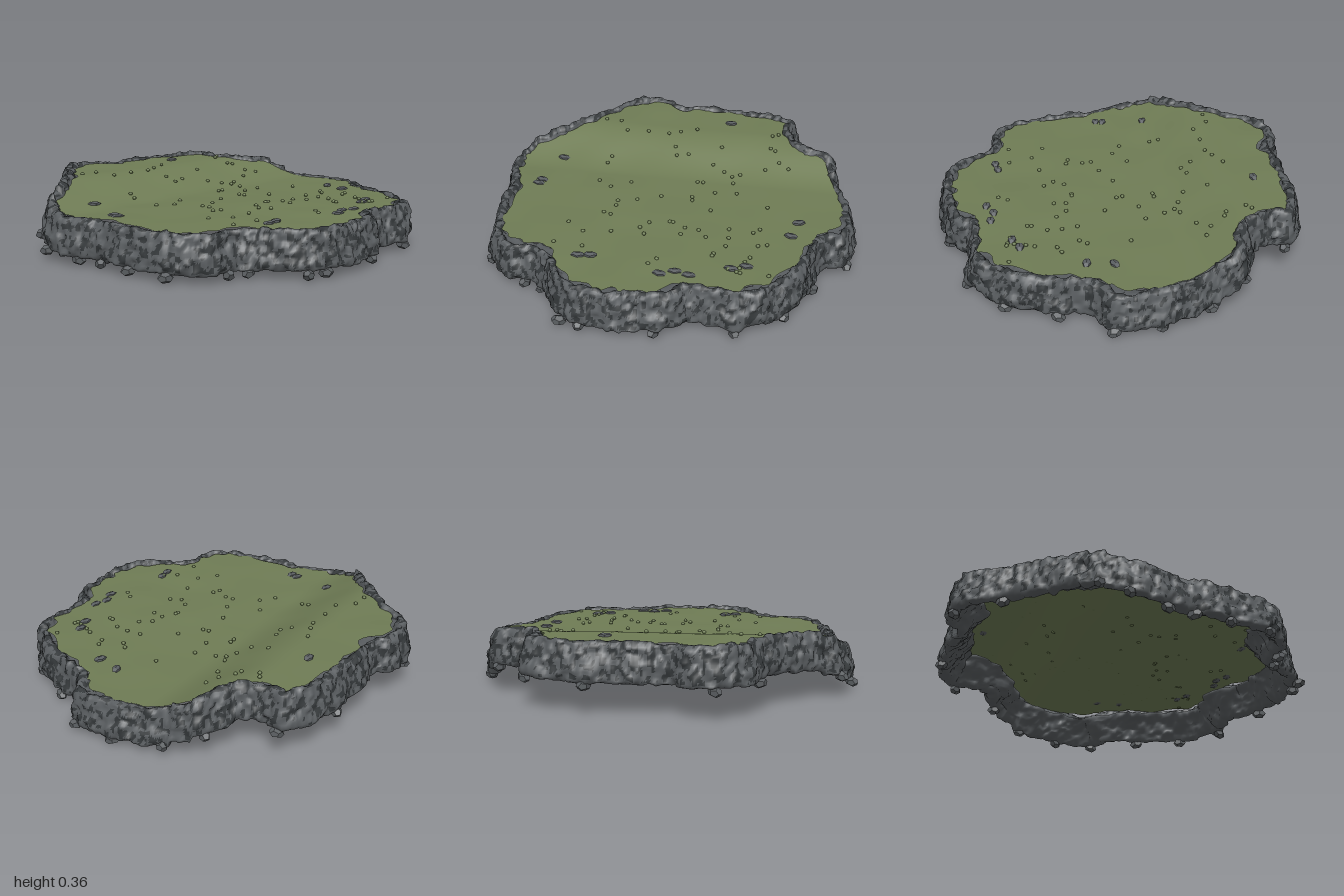
import * as THREE from 'three';

const mat = (name, color, extra = {}) => {
  const m = new THREE.MeshStandardMaterial({ color, ...extra });
  m.name = name;
  return m;
};

// seeded random and smooth 3D value noise in 0..1
let seed = 7;
const rand = () => (seed = (seed * 16807) % 2147483647) / 2147483647;
const hash = (x, y, z) => {
  const s = Math.sin(x * 127.1 + y * 311.7 + z * 74.7) * 43758.5453;
  return s - Math.floor(s);
};
function noise(x, y, z) {
  const X = Math.floor(x), Y = Math.floor(y), Z = Math.floor(z);
  const f = (t) => t * t * (3 - 2 * t);
  const u = f(x - X), v = f(y - Y), w = f(z - Z), mix = THREE.MathUtils.lerp;
  const row = (j, k) => mix(hash(X, Y + j, Z + k), hash(X + 1, Y + j, Z + k), u);
  return mix(mix(row(0, 0), row(1, 0), v), mix(row(0, 1), row(1, 1), v), w);
}

// raised terrace towards the back: the rock climbs faster than the grass
const rockRise = (z) => 0.117 * THREE.MathUtils.smoothstep(-z, 0.18, 0.54);
const grassRise = (z) => 0.115 * THREE.MathUtils.smoothstep(-z, 0.17, 0.58);

// island outline, x and z, clockwise seen from above
const outline = [
  [-0.3, -0.91], [-0.16, -0.89], [-0.08, -0.84], [0.1, -0.85], [0.3, -0.84], [0.48, -0.81], [0.58, -0.75],
  [0.56, -0.64], [0.63, -0.52], [0.72, -0.47], [0.81, -0.42], [0.87, -0.25], [0.92, -0.1], [0.94, 0.1],
  [0.92, 0.2], [0.81, 0.26], [0.77, 0.4], [0.69, 0.6], [0.58, 0.74], [0.45, 0.81], [0.32, 0.79],
  [0.2, 0.79], [0.14, 0.86], [0, 0.9], [-0.15, 0.91], [-0.34, 0.87], [-0.42, 0.78], [-0.5, 0.67],
  [-0.58, 0.61], [-0.7, 0.6], [-0.81, 0.5], [-0.85, 0.35], [-0.87, 0.15], [-0.87, 0.02], [-0.92, -0.12],
  [-0.92, -0.3], [-0.87, -0.38], [-0.75, -0.45], [-0.6, -0.58], [-0.5, -0.7], [-0.42, -0.84],
];
const rim = new THREE.CatmullRomCurve3(outline.map(([x, z]) => new THREE.Vector3(x, 0, z)), true);
rim.arcLengthDivisions = 1000;

// point on the rim moved outward by o
function rimPoint(t, o) {
  const p = rim.getPointAt(t % 1), d = rim.getTangentAt(t % 1);
  return new THREE.Vector3(p.x + d.z * o, 0, p.z - d.x * o);
}

// craggy wall: closed cross-section swept round the rim in stepped blocks;
// its inner side slopes in under the grass
function makeWall(materials) {
  const section = new THREE.CatmullRomCurve3([
    [0.035, 0.05], [0.04, 0.1], [0.028, 0.15], [0.018, 0.2], [0.006, 0.23], [-0.01, 0.237],
    [-0.025, 0.226], [-0.04, 0.2], [-0.08, 0.193], [-0.115, 0.185], [-0.085, 0.15], [-0.045, 0.1], [0, 0.047],
  ].map(([o, y]) => new THREE.Vector3(o, y, 0)), true);
  const N = 600, M = 42, block = 10, pos = [], light = [], dark = [];
  const ring = section.getSpacedPoints(M);
  for (let i = 0; i < N; i++) {
    const b = Math.floor(i / block);
    const middle = rimPoint((b + 0.5) * block / N, 0);
    const lift = (rockRise(middle.z) + rockRise(rimPoint(i / N, 0).z)) / 2 + (hash(b, 3, 1) - 0.5) * 0.012;
    for (let j = 0; j < M; j++) {
      const { x: o, y } = ring[j];
      const p = rimPoint(i / N, o);
      const bulge = (noise(p.x * 11 + 30, y * 6, p.z * 11) - 0.5) * (o < -0.05 ? 0.06 : 0.034)
        + (noise(p.x * 38, y * 38 + 9, p.z * 38 + 50) - 0.5) * 0.028;
      const q = rimPoint(i / N, o + bulge);
      const climb = o < -0.035 ? Math.min(lift, grassRise(q.z)) : lift;
      pos.push(q.x, y + climb + (noise(p.x * 30, y * 30, p.z * 30) - 0.5) * 0.016, q.z);
    }
  }
  for (let i = 0; i < N; i++) {
    for (let j = 0; j < M; j++) {
      const i2 = (i + 1) % N, j2 = (j + 1) % M;
      const a = i * M + j, b = i2 * M + j, c = i2 * M + j2, d = i * M + j2;
      const { x: o, y } = ring[j];
      // most patches on the crest, fewer on the face, none underneath or inside
      const limit = y > 0.222 ? 0.48 : o > 0.01 && y > 0.055 ? 0.57 : 1;
      for (const f of [[a, d, b], [b, d, c]]) {
        const [x, h, z] = [0, 1, 2].map((k) => f.reduce((s, v) => s + pos[v * 3 + k], 0) / 3);
        (noise(x * 55 + 80, h * 42, z * 55 + 20) > limit ? dark : light).push(...f);
      }
    }
  }
  const g = new THREE.BufferGeometry();
  g.setAttribute('position', new THREE.Float32BufferAttribute(pos, 3));
  g.setIndex([...light, ...dark]);
  g.addGroup(0, light.length, 0);
  g.addGroup(light.length, dark.length, 1);
  g.computeVertexNormals();
  return new THREE.Mesh(g, materials);
}

// grass sheet: rings from the centre out to a ragged edge at the wall
function makeGrass(material) {
  const N = 260, R = 44, pos = [], index = [];
  for (let i = 0; i < N; i++) {
    const e = rimPoint(i / N, -0.033);
    e.multiplyScalar(1 + (noise(e.x * 16, 4, e.z * 16) - 0.5) * 0.07);
    for (let r = 0; r <= R; r++) {
      const x = e.x * r / R, z = e.z * r / R;
      pos.push(x, 0.228 + grassRise(z) + (noise(x * 5 + 9, 2, z * 5 + 9) - 0.5) * 0.01, z);
    }
  }
  for (let i = 0; i < N; i++) {
    for (let r = 0; r < R; r++) {
      const a = i * (R + 1) + r, b = ((i + 1) % N) * (R + 1) + r;
      index.push(a, b + 1, a + 1);
      if (r > 0) index.push(a, b, b + 1);
    }
  }
  const g = new THREE.BufferGeometry();
  g.setAttribute('position', new THREE.Float32BufferAttribute(pos, 3));
  g.setIndex(index);
  g.computeVertexNormals();
  return new THREE.Mesh(g, material);
}

export function createModel() {
  const model = new THREE.Group();
  const grass = mat('grass green', 0x6f7c55, { side: THREE.DoubleSide });
  const rock = mat('rock grey', 0x5a5e61);
  const shade = mat('dark rock', 0x35393b);
  const pebble = mat('moss pebble', 0x64734a);

  const add = (mesh, name) => {
    mesh.name = name;
    model.add(mesh);
    return mesh;
  };
  add(makeGrass(grass), 'grassGround');
  add(makeWall([rock, shade]), 'rockWall');

  const stone = new THREE.DodecahedronGeometry(1, 0);
  const put = (geometry, material, name, x, y, z, sx, sy, sz) => {
    const m = add(new THREE.Mesh(geometry, material), name);
    m.position.set(x, y, z);
    m.scale.set(sx, sy, sz);
    m.rotation.y = rand() * 6;
    return m;
  };

  // stones sticking out at the foot of the wall
  for (const [x, z] of [[-0.53, 0.67], [-0.28, 0.92], [0.08, 0.91], [0.45, 0.84], [0.67, 0.68], [0.79, 0.44],
    [0.95, 0.2], [0.95, -0.03], [0.89, -0.28], [0.8, -0.46], [0.61, -0.73], [0.3, -0.87], [-0.3, -0.93],
    [-0.5, -0.74], [-0.9, -0.4], [-0.96, -0.28], [-0.92, -0.08], [-0.9, 0.06], [-0.89, 0.25], [-0.86, 0.47],
    [-0.63, 0.64], [-0.38, 0.9]]) {
    const m = put(stone, rock, 'footStone', x, 0.034 + rockRise(z), z, 0.038, 0.026, 0.028);
    m.rotation.z = (rand() - 0.5) * 0.8;
  }

  // flat stones lying on the grass
  for (const [x, z] of [[0.23, -0.67], [-0.67, -0.27], [-0.73, -0.04], [-0.74, 0], [0.69, 0.15], [0.66, 0.28],
    [0.4, 0.61], [0.47, 0.58], [0.14, 0.68], [0.07, 0.71], [0.21, 0.7], [-0.29, 0.62], [-0.35, 0.63]]) {
    const m = put(stone, rock, 'flatStone', x, 0.232 + grassRise(z), z, 0.036, 0.012, 0.022);
    m.rotation.y = (rand() - 0.5) * 0.8;
  }

  // scattered rounded pebbles
  const small = new THREE.SphereGeometry(1, 10, 8);
  for (let i = 0; i < 75; i++) {
    const x = -0.5 + rand() * 1.1, z = -0.6 + rand() * 1.25;
    put(small, pebble, 'pebble', x, 0.233 + grassRise(z), z, 0.011, 0.009, 0.01);
  }
  return model;
}
